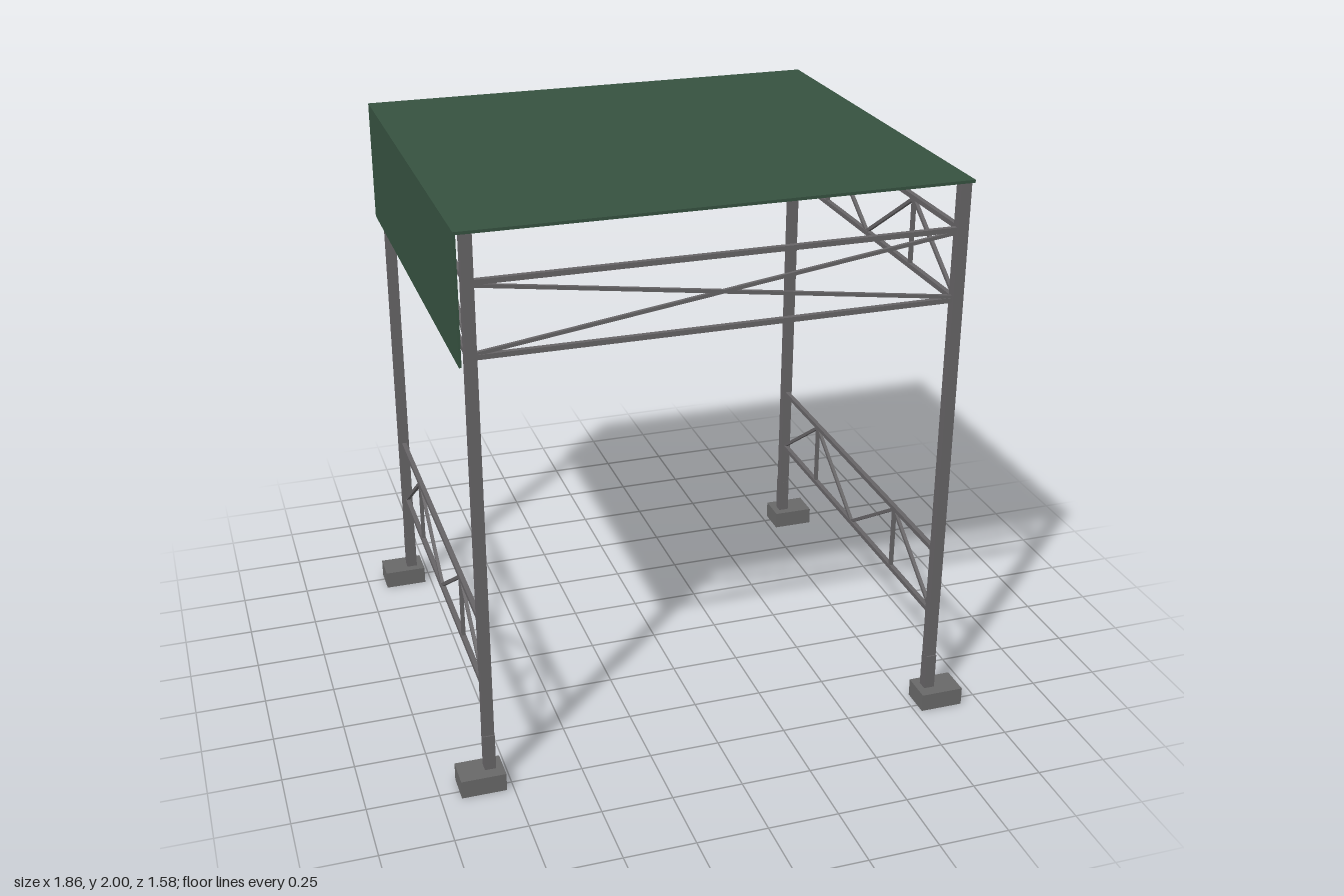
import * as THREE from 'three';

export function createModel() {
  const model = new THREE.Group();
  model.name = 'canopyFrame';
  const steel = new THREE.MeshStandardMaterial({ color: 0x666466 });
  steel.name = 'steel grey';
  const concrete = new THREE.MeshStandardMaterial({ color: 0x686868 });
  concrete.name = 'concrete grey';
  const green = new THREE.MeshStandardMaterial({ color: 0x365240 });
  green.name = 'dark green sheet';

  const PX = 0.82, PZ = 0.725; // post centres

  function box(name, material, size, pos, parent = model) {
    const mesh = new THREE.Mesh(new THREE.BoxGeometry(...size), material);
    mesh.name = name;
    mesh.position.set(...pos);
    parent.add(mesh);
    return mesh;
  }

  // Square bar running between two points
  function bar(name, a, b, t, parent) {
    const from = new THREE.Vector3(...a), to = new THREE.Vector3(...b);
    const mid = from.clone().add(to).multiplyScalar(0.5);
    const mesh = box(name, steel, [t, t, from.distanceTo(to)], mid.toArray(), parent);
    mesh.lookAt(to);
  }

  // Posts with short base sleeves on footing blocks
  for (const sx of [-1, 1]) {
    for (const sz of [-1, 1]) {
      box('post', steel, [0.038, 1.93, 0.033], [sx * PX, 1.027, sz * PZ]);
      box('postSleeve', steel, [0.039, 0.14, 0.038], [sx * PX, 0.13, sz * (PZ + 0.002)]);
      box('footing', concrete, [0.156, 0.066, 0.112], [sx * 0.853, 0.033, sz * 0.733]);
    }
  }

  // Side trusses: two rails, zigzag diagonals and two uprights
  function sideTruss(x, low, high) {
    const truss = new THREE.Group();
    truss.name = 'sideTruss';
    model.add(truss);
    for (const y of [low, high]) bar('rail', [x, y, -0.715], [x, y, 0.715], 0.017, truss);
    for (const s of [-1, 1]) {
      const top = [x, high - 0.006, s * 0.37];
      bar('upright', [x, low, s * 0.37], [x, high, s * 0.37], 0.013, truss);
      bar('diagonal', [x, low + 0.008, s * 0.71], top, 0.012, truss);
      bar('diagonal', top, [x, low + 0.003, 0], 0.012, truss);
    }
  }
  for (const x of [-PX, PX]) {
    sideTruss(x, 0.37, 0.62);
    sideTruss(x, 1.577, 1.825);
  }

  // Front and back frames: two rails with crossed braces
  for (const z of [-PZ, PZ]) {
    const frame = new THREE.Group();
    frame.name = 'crossBracedFrame';
    model.add(frame);
    for (const y of [1.58, 1.825]) bar('rail', [-0.81, y, z], [0.81, y, z], 0.017, frame);
    for (const s of [-1, 1]) bar('crossBrace', [-0.81 * s, 1.589, z], [0.81 * s, 1.815, z], 0.012, frame);
  }

  // Roof sheet and hanging side sheet
  box('roofSheet', green, [1.702, 0.01, 1.525], [-0.012, 1.995, 0]);
  box('sideSheet', green, [0.008, 0.43, 1.525], [-0.859, 1.78, 0]);

  return model;
}
